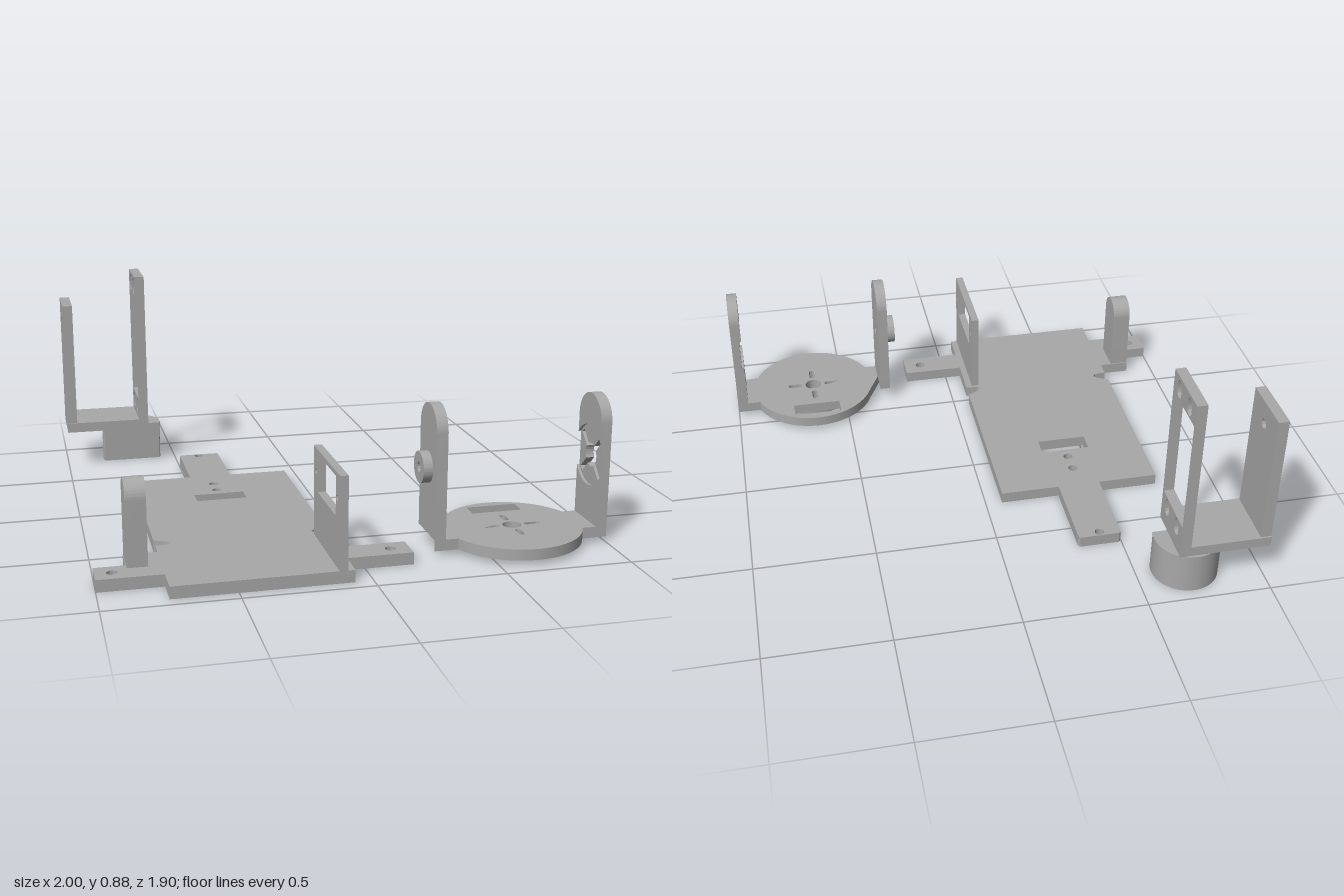
import * as THREE from 'three';
import { toCreasedNormals } from 'three/addons/utils/BufferGeometryUtils.js';

const PI = Math.PI;

export function createModel() {
  const model = new THREE.Group();
  const grey = new THREE.MeshStandardMaterial({ color: 0xa8a8a8 });
  grey.name = 'plain grey plastic';

  const poly = (pts) => new THREE.Shape(pts.map(([a, b]) => new THREE.Vector2(a, b)));
  const rect = (a0, a1, b0, b1) => poly([[a0, b0], [a1, b0], [a1, b1], [a0, b1]]);
  const circle = (a, b, r) => new THREE.Shape().absarc(a, b, r, 0, PI * 2, false);
  // Slot with rounded ends, upright
  const slot = (a, b0, b1, r) => new THREE.Shape()
    .absarc(a, b0 + r, r, PI, PI * 2, false).absarc(a, b1 - r, r, 0, PI, false).closePath();
  // Slot with rounded ends, sideways
  const slotAcross = (a0, a1, b, r) => new THREE.Shape()
    .absarc(a1 - r, b, r, -PI / 2, PI / 2, false).absarc(a0 + r, b, r, PI / 2, PI * 1.5, false).closePath();

  function extrude(shape, holes, depth) {
    shape.holes.push(...holes);
    return new THREE.ExtrudeGeometry(shape, { depth, bevelEnabled: false, curveSegments: 32 });
  }
  function add(group, name, geo) {
    const mesh = new THREE.Mesh(toCreasedNormals(geo, 0.6), grey);
    mesh.name = name;
    group.add(mesh);
  }
  // Horizontal plate: shape drawn in (x, z)
  function slab(group, name, shape, y0, y1, holes = []) {
    add(group, name, extrude(shape, holes, y1 - y0).rotateX(PI / 2).translate(0, y1, 0));
  }
  // Upright wall: shape drawn in (z, y)
  function wall(group, name, shape, x0, x1, holes = []) {
    add(group, name, extrude(shape, holes, x1 - x0).rotateY(-PI / 2).translate(x1, 0, 0));
  }
  // Upright with a semicircular top
  const tombstone = (a, r, b0, top) => new THREE.Shape()
    .moveTo(a - r, b0).lineTo(a + r, b0).absarc(a, top - r, r, 0, PI, false).closePath();
  const part = (name) => {
    const g = new THREE.Group();
    g.name = name;
    model.add(g);
    return g;
  };

  // Base: body, rear tongue, two ears and side notches
  const base = part('base');
  slab(base, 'basePlate', poly([
    [-0.49, -0.62], [-0.325, -0.62], [-0.318, -0.61], [-0.318, -0.28], [-0.07, -0.28],
    [-0.07, 0.475], [-0.12, 0.5], [-0.133, 0.515], [-0.12, 0.53], [-0.07, 0.535],
    [-0.07, 0.71], [0.19, 0.71], [0.19, 0.83], [-0.07, 0.83], [-0.07, 0.95],
    [-0.75, 0.95], [-0.75, 0.83], [-1, 0.83], [-1, 0.71], [-0.88, 0.71], [-0.88, 0.6], [-0.75, 0.6],
    [-0.75, 0.535], [-0.7, 0.53], [-0.687, 0.515], [-0.7, 0.5], [-0.75, 0.475],
    [-0.75, -0.28], [-0.497, -0.28], [-0.497, -0.61],
  ]), 0, 0.048, [
    circle(-0.41, -0.598, 0.019), circle(-0.41, -0.165, 0.02), circle(-0.41, -0.08, 0.02),
    circle(-0.935, 0.77, 0.021), circle(0.115, 0.77, 0.021), rect(-0.515, -0.305, -0.03, 0.05),
  ]);
  wall(base, 'motorWall', rect(0.545, 0.95, 0.048, 0.41), -0.13, -0.098, [
    rect(0.61, 0.888, 0.24, 0.392), circle(0.91, 0.317, 0.011), circle(0.585, 0.317, 0.011),
  ]);
  wall(base, 'pivotPost', tombstone(0.673, 0.068, 0.048, 0.375), -0.878, -0.8);

  // Turntable yoke: round deck on a hub ring, with two arms
  const yoke = part('turntableYoke');
  const cx = 0.643, cz = 0.675, R = 0.275, half = 0.1;
  const t = Math.asin(half / R);
  const deck = new THREE.Shape()
    .moveTo(0.29, cz - half)
    .absarc(cx, cz, R, PI + t, PI * 2 - t, false)
    .lineTo(1, cz - half).lineTo(1, cz + half)
    .absarc(cx, cz, R, t, PI - t, false)
    .lineTo(0.29, cz + half).closePath();
  slab(yoke, 'deck', deck, 0.022, 0.066, [
    circle(cx, cz, 0.037), rect(0.537, 0.747, 0.44, 0.515),
    slot(cx, 0.56, 0.622, 0.012), slot(cx, 0.728, 0.79, 0.012),
    slotAcross(0.525, 0.59, cz, 0.012), slotAcross(0.696, 0.76, cz, 0.012),
  ]);
  slab(yoke, 'hubRing', circle(cx, cz, 0.155), 0, 0.022, [circle(cx, cz, 0.122)]);

  const py = 0.333;
  wall(yoke, 'pivotArm', tombstone(cz, half, 0.066, 0.585), 0.29, 0.335, [circle(cz, py, 0.02)]);
  wall(yoke, 'pivotBoss', circle(cz, py, 0.062), 0.253, 0.29, [circle(cz, py, 0.02)]);

  // Cross-shaped opening in the drive arm
  const cross = new THREE.Path();
  const hubR = 0.048, w = 0.011, L = 0.112, d = Math.asin(w / hubR);
  for (let k = 0; k < 4; k++) {
    const a = PI / 4 + k * PI / 2, c = Math.cos(a), s = Math.sin(a);
    cross.absarc(cz, py, hubR, a - PI / 2 + d, a - d, false);
    cross.lineTo(cz + L * c + w * s, py + L * s - w * c);
    cross.lineTo(cz + L * c - w * s, py + L * s + w * c);
  }
  cross.closePath();
  wall(yoke, 'driveArm', tombstone(cz, half, 0.066, 0.585), 0.966, 1, [cross]);

  // Inner layer of the drive arm, leaving a round recess
  const rr = 0.122, ra = Math.acos(half / rr);
  wall(yoke, 'driveArmLowerLining', new THREE.Shape()
    .moveTo(cz - half, 0.066).lineTo(cz + half, 0.066)
    .absarc(cz, py, rr, -ra, -PI + ra, true).closePath(), 0.955, 0.966);
  wall(yoke, 'driveArmUpperLining', new THREE.Shape()
    .absarc(cz, 0.485, half, 0, PI, false)
    .absarc(cz, py, rr, PI - ra, ra, true).closePath(), 0.955, 0.966);

  // Tilt bracket: floor, short wall, slotted frame and boss below
  const bracket = part('tiltBracket');
  slab(bracket, 'bracketFloor', rect(-1, -0.63, -0.943, -0.693), 0.172, 0.215);
  wall(bracket, 'shortWall', rect(-0.936, -0.7, 0.215, 0.763), -1, -0.957, [circle(-0.815, 0.673, 0.02)]);
  const slots = [];
  for (const z of [-0.757, -0.873]) {
    for (const y of [0.232, 0.797]) slots.push(slot(z, y, y + 0.075, 0.021));
  }
  wall(bracket, 'slottedFrame', rect(-0.943, -0.693, 0.215, 0.885), -0.672, -0.63,
    [rect(-0.934, -0.702, 0.313, 0.79), ...slots]);
  const f = Math.asin(0.042 / 0.135);
  slab(bracket, 'boss',
    new THREE.Shape().absarc(-0.7, -0.82, 0.135, PI - f, PI * 2 + f, false).closePath(),
    0, 0.172, [circle(-0.7, -0.82, 0.02), circle(-0.78, -0.85, 0.016)]);

  return model;
}
